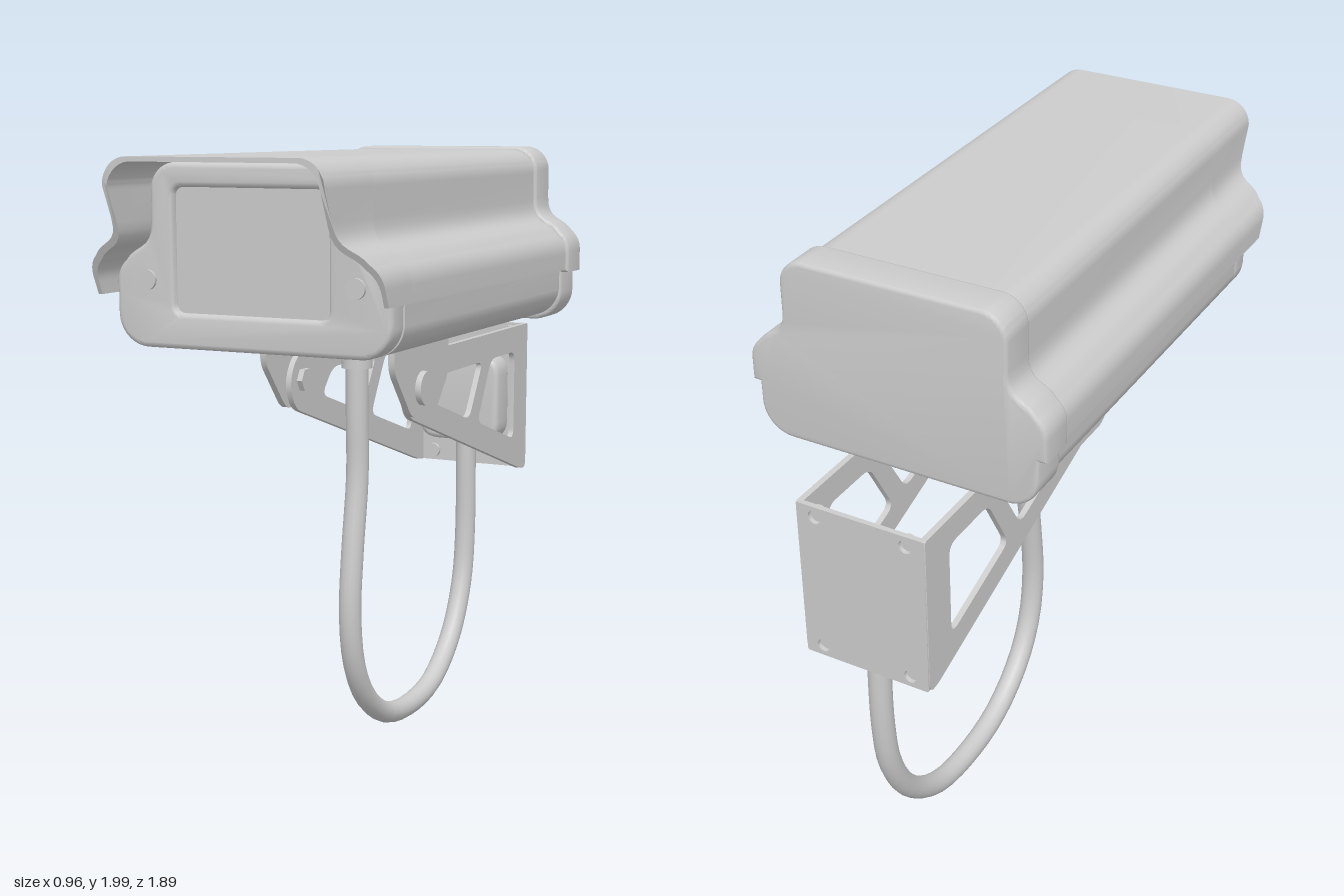
import * as THREE from 'three';
import { toCreasedNormals } from 'three/addons/utils/BufferGeometryUtils.js';

const V = (x, y) => new THREE.Vector2(x, y);

// Polygon with rounded corners, returned as points
function rounded(pts, r) {
  const path = new THREE.Path();
  pts.forEach((p, i) => {
    const n = pts.length;
    const c = V(...p), a = V(...pts[(i + n - 1) % n]), b = V(...pts[(i + 1) % n]);
    const radius = p[2] ?? r;
    const toward = q => c.clone().add(q.clone().sub(c).setLength(Math.min(radius, q.distanceTo(c) * 0.49)));
    const s = toward(a), e = toward(b);
    if (i === 0) path.moveTo(s.x, s.y); else path.lineTo(s.x, s.y);
    path.quadraticCurveTo(c.x, c.y, e.x, e.y);
  });
  path.closePath();
  return path.getPoints(6);
}

const rect = (x0, y0, x1, y1, r) => rounded([[x0, y0], [x1, y0], [x1, y1], [x0, y1]], r);

// Right half of the shouldered housing section, top to shoulder hem, inset by d
function shoulder(d, hem) {
  const w = 0.35 - d, s = 0.47 - d, top = 1.99 - d;
  const p = new THREE.Path();
  p.moveTo(w - 0.08, top);
  p.absarc(w - 0.08, top - 0.08, 0.08, Math.PI / 2, 0, true);
  p.lineTo(w, 1.82 - d);
  p.bezierCurveTo(w, 1.735 - d, w + 0.055, 1.755 - d, s - 0.03, 1.705 - d);
  p.quadraticCurveTo(s, 1.68 - d, s, 1.64 - d);
  p.lineTo(s, hem);
  return p.getPoints(8);
}

// Right half from the hem down around the bottom corner
function lowerHalf(w, hem, bottom) {
  const p = new THREE.Path();
  p.moveTo(w, hem);
  p.lineTo(w, bottom + 0.1);
  p.absarc(w - 0.1, bottom + 0.1, 0.1, 0, -Math.PI / 2, true);
  return p.getPoints(8);
}

const mirrored = pts => pts.map(p => V(-p.x, p.y)).reverse();
const closed = half => [...half, ...mirrored(half)];

function extrude(points, z0, z1, { holes = [], bevel = 0 } = {}) {
  const shape = new THREE.Shape(points);
  shape.holes = holes.map(h => new THREE.Path(h));
  const g = new THREE.ExtrudeGeometry(shape, {
    depth: z1 - z0 - 2 * bevel, bevelEnabled: bevel > 0, bevelSize: bevel,
    bevelThickness: bevel, bevelOffset: -bevel, bevelSegments: 3, curveSegments: 8,
  });
  return g.translate(0, 0, z0 + bevel);
}

// Plate drawn in (z, y), with thickness along x
function sidePlate(points, x, t, holes) {
  return extrude(points, 0, t, { holes }).rotateY(-Math.PI / 2).translate(x + t, 0, 0);
}

function disc(r, h, axis, x, y, z, sides = 24) {
  const g = new THREE.CylinderGeometry(r, r, h, sides);
  if (axis === 'x') g.rotateZ(Math.PI / 2);
  if (axis === 'z') g.rotateX(Math.PI / 2);
  return g.translate(x, y, z);
}

export function createModel() {
  const model = new THREE.Group();
  model.name = 'securityCamera';
  const material = new THREE.MeshStandardMaterial({ color: 0xcccccc, side: THREE.DoubleSide });
  const add = (name, geometry, parent = model) => {
    const mesh = new THREE.Mesh(toCreasedNormals(geometry, 0.6), material);
    mesh.name = name;
    parent.add(mesh);
    return mesh;
  };
  const group = name => {
    const g = new THREE.Group();
    g.name = name;
    model.add(g);
    return g;
  };

  // Housing: inner body, front plate with window, rear cap
  const housing = group('housing');
  const body = closed([...shoulder(0.02, 1.6), ...lowerHalf(0.449, 1.59, 1.43)]);
  add('body', extrude(body, -0.62, 0.65), housing);
  const windowOutline = rect(-0.252, 1.535, 0.252, 1.9, 0.03);
  add('frontPlate', extrude(body, 0.65, 0.735, { holes: [windowOutline], bevel: 0.015 }), housing);
  add('window', extrude(rect(-0.26, 1.53, 0.26, 1.91, 0.03), 0.66, 0.715), housing);
  for (const s of [-1, 1]) add('plateScrew', disc(0.03, 0.03, 'z', s * 0.34, 1.63, 0.73), housing);
  const cap = closed([...shoulder(-0.01, 1.58), ...lowerHalf(0.456, 1.579, 1.415)]);
  add('rearCap', extrude(cap, -0.742, -0.612, { bevel: 0.012 }), housing);

  // Sun hood: open shell, with a visor whose front edge slants back
  const outer = shoulder(0, 1.588), inner = shoulder(0.014, 1.588);
  const shell = [...mirrored(outer), ...outer, ...[...mirrored(inner), ...inner].reverse()];
  add('hood', extrude(shell, -0.615, 0.65), housing);
  const visor = extrude(shell, 0.65, 0.945);
  const pos = visor.attributes.position;
  for (let i = 0; i < pos.count; i++) {
    if (pos.getZ(i) > 0.8) pos.setZ(i, Math.min(0.945, 0.8 + (pos.getY(i) - 1.588) * 0.45));
  }
  add('visor', visor, housing);

  // Tilting mount: channel under the body, with pivot bolts
  const mount = group('tiltMount');
  add('mountPlate', extrude(rect(-0.235, 1.405, 0.235, 1.432, 0.01), -0.16, 0.26), mount);
  const cheek = rounded([[0.26, 1.43, 0.005], [0.26, 1.33], [0.125, 1.167],
    [-0.06, 1.167], [-0.16, 1.28], [-0.16, 1.43, 0.005]], 0.035);
  for (const s of [-1, 1]) {
    add('mountCheek', sidePlate(cheek, s > 0 ? 0.214 : -0.235, 0.021), mount);
    add('pivotBolt', disc(0.055, 0.022, 'x', s * 0.244, 1.255, 0.05), mount);
    add('pivotNut', disc(0.04, 0.04, 'x', s * 0.195, 1.255, 0.05, 6), mount);
    for (const z of [-0.08, 0.18]) add('mountScrew', disc(0.025, 0.02, 'y', s * 0.14, 1.398, z), mount);
  }

  // Wall bracket: two pierced arms joined by a back plate
  const bracket = group('wallBracket');
  const arm = rounded([[-0.942, 1.36, 0.008], [-0.942, 0.825, 0.03], [-0.9, 0.825, 0.03],
    [0.1, 1.163, 0.04], [0.14, 1.25, 0.05], [0.09, 1.34, 0.05], [-0.1, 1.36, 0.03]], 0.02);
  const armHoles = [
    rounded([[-0.17, 1.27], [-0.51, 1.27], [-0.395, 1.085], [-0.09, 1.185]].reverse(), 0.04),
    rounded([[-0.59, 1.27], [-0.815, 1.27], [-0.815, 0.95], [-0.47, 1.064]].reverse(), 0.04),
  ];
  for (const s of [-1, 1]) {
    add('bracketArm', sidePlate(arm, s > 0 ? 0.194 : -0.213, 0.019, armHoles), bracket);
  }
  const corners = (x, ys) => [-1, 1].flatMap(s => ys.map(y => [s * x, y]));
  const wallBolts = corners(0.15, [0.862, 1.325]);
  const boltHoles = wallBolts.map(([x, y]) =>
    new THREE.Path().absarc(x, y, 0.022, 0, Math.PI * 2).getPoints(10));
  add('backPlate', extrude(rect(-0.21, 0.825, 0.21, 1.36, 0.008), -0.945, -0.928, { holes: boltHoles }), bracket);
  for (const [x, y] of wallBolts) add('wallBolt', disc(0.026, 0.018, 'z', x, y, -0.922), bracket);

  // Junction box on the back plate
  const box = group('junctionBox');
  add('boxFlange', extrude(rect(-0.185, 0.91, 0.185, 1.27, 0.03), -0.93, -0.912), box);
  add('boxCover', extrude(rect(-0.155, 0.932, 0.155, 1.247, 0.07), -0.915, -0.798, { bevel: 0.018 }), box);
  for (const [x, y] of corners(0.162, [0.932, 1.25])) add('boxScrew', disc(0.015, 0.016, 'z', x, y, -0.908, 16), box);

  // Cable gland under the body, and the looping cable
  const gland = group('cableGland');
  add('glandFlange', disc(0.115, 0.034, 'y', 0, 1.372, 0.04), gland);
  add('glandNeck', disc(0.085, 0.03, 'y', 0, 1.395, 0.04), gland);
  add('glandNut', disc(0.05, 0.055, 'y', 0, 1.332, 0.04), gland);
  const route = [[0.04, 1.35], [0.04, 1.15], [0.038, 0.95], [0.075, 0.7], [0.093, 0.5], [0.065, 0.32],
    [-0.02, 0.18], [-0.18, 0.073], [-0.38, 0.042], [-0.58, 0.075], [-0.75, 0.2],
    [-0.85, 0.38], [-0.88, 0.56], [-0.88, 0.95]];
  const curve = new THREE.CatmullRomCurve3(route.map(([z, y]) => new THREE.Vector3(0, y, z)));
  add('cable', new THREE.TubeGeometry(curve, 48, 0.037, 16), group('cableLoop'));

  return model;
}
